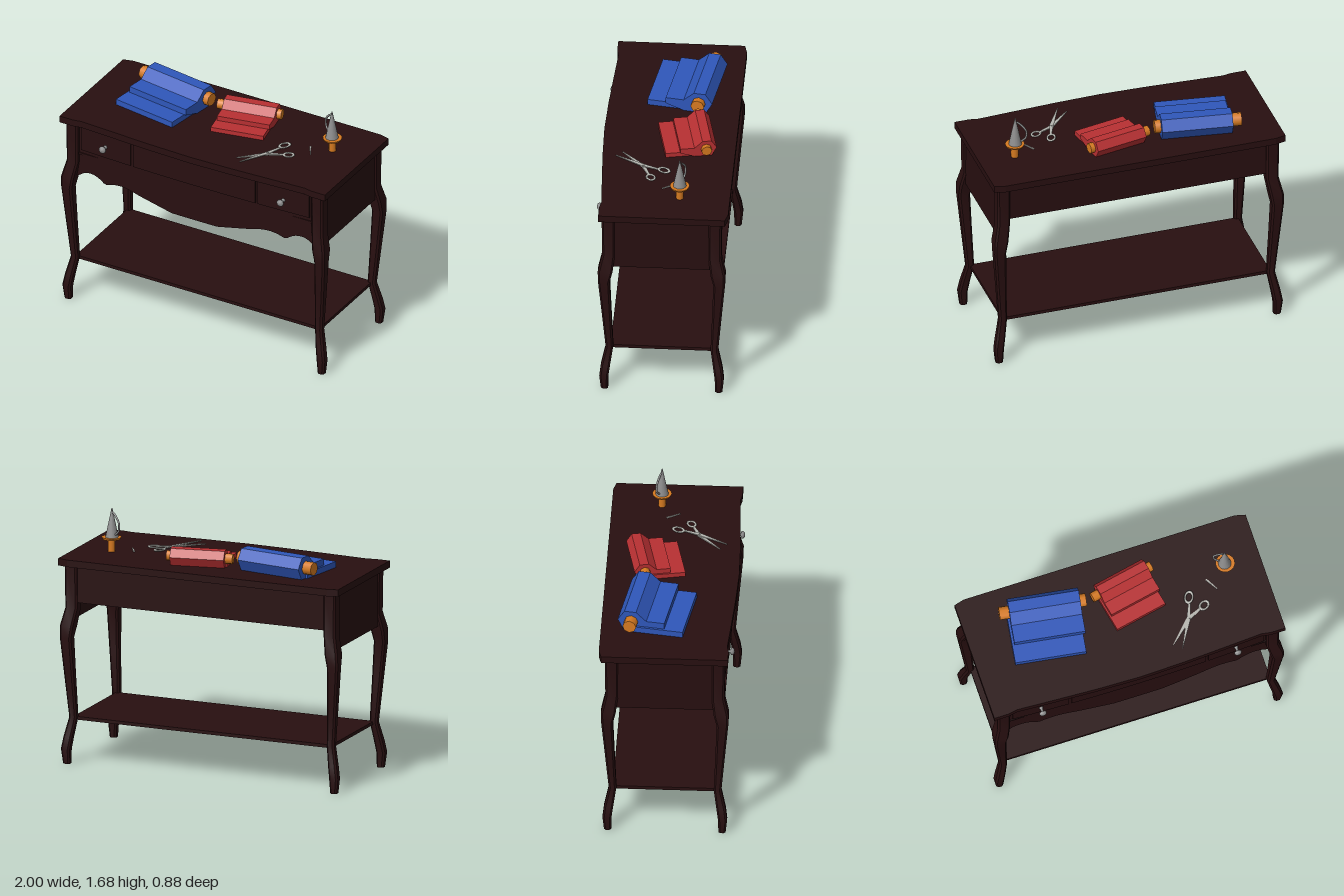
import * as THREE from 'three';
import { toCreasedNormals } from 'three/addons/utils/BufferGeometryUtils.js';

const mat = (name, color) => {
  const m = new THREE.MeshStandardMaterial({ color });
  m.name = name;
  return m;
};

export function createModel() {
  const wood = mat('dark wood', 0x280f10);
  const blue = mat('blue cloth', 0x2f57ba);
  const red = mat('red cloth', 0xb83032);
  const orange = mat('orange wood', 0xd67a20);
  const grey = mat('grey metal', 0x8c8c8c);
  const steel = mat('pale steel', 0xb6b6b0);
  const TOP = 1.385;

  const model = new THREE.Group();
  model.name = 'sewingTable';
  const add = (name, geo, material, x = 0, y = 0, z = 0, parent = model) => {
    const mesh = new THREE.Mesh(geo, material);
    mesh.name = name;
    mesh.position.set(x, y, z);
    parent.add(mesh);
    return mesh;
  };
  const box = (name, w, h, d, x, y, z) => add(name, new THREE.BoxGeometry(w, h, d), wood, x, y, z);

  // Horizontal plate from [x, z] outline points, rising from y = 0
  const plate = (points, thickness) => {
    const shape = new THREE.Shape(points.map(([x, z]) => new THREE.Vector2(x, -z)));
    return new THREE.ExtrudeGeometry(shape, { depth: thickness, bevelEnabled: false }).rotateX(-Math.PI / 2);
  };

  // Table top: bowed front, clipped back corners
  const half = [[0, 0.433], [0.3, 0.425], [0.6, 0.41], [0.84, 0.397], [0.9, 0.408], [1, 0.408], [1, -0.42], [0.93, -0.438]];
  const outline = [...half, ...half.slice(1).reverse().map(([x, z]) => [-x, z])];
  add('tableTop', plate(outline, 0.047), wood, 0, TOP - 0.047, 0);

  // Front apron and drawers follow one gentle bow
  const bow = (x) => 0.388 - 0.03 * x * x;
  const edge = [[0, 0.88], [0.17, 0.88], [0.42, 0.935], [0.5, 0.957], [0.56, 0.963], [0.62, 0.955], [0.68, 0.935],
    [0.72, 0.965], [0.76, 0.982], [0.8, 0.985], [0.84, 0.975], [0.89, 0.94], [1, 0.93]];
  const scallop = (x) => {
    const i = Math.max(1, edge.findIndex(([ex]) => ex >= Math.abs(x)));
    const [[x0, y0], [x1, y1]] = [edge[i - 1], edge[i]];
    return y0 + (y1 - y0) * (Math.abs(x) - x0) / (x1 - x0);
  };
  const bowedPanel = (name, x0, x1, y1, bottom, offset, thick) => {
    const geo = new THREE.BoxGeometry(x1 - x0, 1, thick, Math.ceil((x1 - x0) * 50), 1, 1);
    const p = geo.attributes.position;
    for (let i = 0; i < p.count; i++) {
      const x = p.getX(i) + (x0 + x1) / 2;
      p.setXYZ(i, x, p.getY(i) > 0 ? y1 : bottom(x), p.getZ(i) - thick / 2 + bow(x) + offset);
    }
    geo.computeVertexNormals();
    return add(name, geo, wood);
  };
  bowedPanel('frontApron', -0.91, 0.91, 1.34, scallop, -0.008, 0.025);
  for (const [name, x0, x1] of [['rightDrawer', -0.86, -0.48], ['centreDrawer', -0.46, 0.46], ['leftDrawer', 0.48, 0.86]]) {
    bowedPanel(name, x0, x1, 1.32, () => 1.15, 0.004, 0.02);
  }

  // Drawer knobs
  const knobProfile = [[0.014, 0], [0.009, 0.012], [0.009, 0.03], [0.024, 0.036], [0.025, 0.046], [0.016, 0.056], [0, 0.059]]
    .map(([r, y]) => new THREE.Vector2(r, y));
  for (const s of [-1, 1]) {
    add(s < 0 ? 'rightKnob' : 'leftKnob', new THREE.LatheGeometry(knobProfile, 12).rotateX(Math.PI / 2), grey, s * 0.67, 1.232, 0.378);
  }

  // Side aprons, back apron, drawer floor and lower shelf
  for (const s of [-1, 1]) box('sideApron', 0.025, 0.38, 0.7, s * 0.945, 1.15, 0);
  box('backApron', 1.8, 0.25, 0.025, 0, 1.215, -0.37);
  box('drawerFloor', 1.87, 0.015, 0.74, 0, 1.115, -0.005);
  box('lowerShelf', 1.84, 0.022, 0.68, 0, 0.302, -0.008);

  // Curved legs: [y, outer x, inner x, outer z, inner z] per section
  const sections = [
    [0, 0.978, 0.93, 0.392, 0.345], [0.1, 0.989, 0.927, 0.402, 0.343], [0.18, 0.975, 0.915, 0.392, 0.332],
    [0.31, 0.947, 0.893, 0.363, 0.313], [0.6, 0.972, 0.905, 0.388, 0.325], [0.85, 0.993, 0.914, 0.41, 0.334],
    [0.93, 0.992, 0.9, 0.412, 0.315], [1.05, 0.965, 0.88, 0.384, 0.3], [1.34, 0.968, 0.88, 0.388, 0.3],
  ];
  const legGeometry = (sx, sz, shift) => {
    const pos = [], index = [], n = 8;
    for (const [y, xo, xi, zo, zi] of sections) {
      const c = 0.012;
      const ring = [[xo, zi + c], [xo, zo - c], [xo - c, zo], [xi + c, zo], [xi, zo - c], [xi, zi + c], [xi + c, zi], [xo - c, zi]];
      if (sx * sz < 0) ring.reverse();
      for (const [x, z] of ring) pos.push(x * sx, y, z * sz + shift);
    }
    for (let r = 0; r < sections.length - 1; r++) {
      for (let k = 0; k < n; k++) {
        const a = r * n + k, b = r * n + (k + 1) % n;
        index.push(a, a + n, b + n, a, b + n, b);
      }
    }
    for (let k = 1; k < n - 1; k++) index.push(0, k, k + 1);
    const geo = new THREE.BufferGeometry();
    geo.setAttribute('position', new THREE.Float32BufferAttribute(pos, 3));
    geo.setIndex(index);
    return toCreasedNormals(geo, 0.6);
  };
  for (const sx of [-1, 1]) {
    add('frontLeg', legGeometry(sx, 1, 0), wood);
    add('backLeg', legGeometry(sx, -1, -0.01), wood);
  }

  // Cloth bolts: wound roll with a loose flap, a bottom layer and a core
  const bolt = (name, cloth, x, z, turn, scale) => {
    const g = new THREE.Group();
    g.name = name;
    g.position.set(x, TOP, z);
    g.rotation.y = turn;
    g.scale.setScalar(scale);
    const len = 0.47;
    const profile = [[-0.05, 0.002], [-0.09, 0.078], [-0.045, 0.147], [0.032, 0.147], [0.1, 0.085], [0.22, 0.085], [0.22, 0.042], [0.1, 0.002]];
    const shape = new THREE.Shape(profile.map(([v, y]) => new THREE.Vector2(-v, y)));
    const roll = new THREE.ExtrudeGeometry(shape, { depth: len, bevelEnabled: false })
      .translate(0, 0, -len / 2).rotateY(Math.PI / 2);
    add('clothRoll', roll, cloth, 0.01, 0, 0, g);
    add('clothUnderLayer', new THREE.BoxGeometry(len, 0.04, 0.345), cloth, -0.005, 0.022, 0.172, g);
    add('boltCore', new THREE.CylinderGeometry(0.045, 0.045, 0.575, 8).rotateZ(Math.PI / 2), orange, -0.002, 0.073, 0, g);
    model.add(g);
  };
  bolt('blueBolt', blue, -0.465, -0.205, -0.15, 1);
  bolt('redBolt', red, 0.08, -0.213, 0.2, 0.77);

  // Spool stand with a metal cone and side handle
  const stand = new THREE.Group();
  stand.name = 'coneStand';
  stand.position.set(0.757, TOP, -0.11);
  model.add(stand);
  add('standStem', new THREE.CylinderGeometry(0.024, 0.024, 0.09, 12), orange, 0, 0.045, 0, stand);
  add('standTray', new THREE.CylinderGeometry(0.064, 0.058, 0.014, 16), orange, 0, 0.09, 0, stand);
  add('metalCone', new THREE.CylinderGeometry(0.003, 0.043, 0.195, 16), grey, -0.003, 0.194, 0, stand);
  const handlePath = new THREE.CatmullRomCurve3([[-0.012, 0.265], [-0.035, 0.25], [-0.075, 0.2], [-0.072, 0.15], [-0.04, 0.118]]
    .map(([x, y]) => new THREE.Vector3(x, y, 0)));
  add('coneHandle', new THREE.TubeGeometry(handlePath, 16, 0.007, 6), grey, 0, 0, 0, stand).rotation.y = -0.45;

  // Scissors: two crossing blades with finger loops
  const bar = (name, [x0, z0], [x1, z1], w0, w1, y, material) => {
    const d = new THREE.Vector2(x1 - x0, z1 - z0).normalize();
    const side = (x, z, w) => [x - d.y * w, z + d.x * w];
    const pts = [side(x0, z0, w0), side(x1, z1, w1), side(x1, z1, -w1), side(x0, z0, -w0)];
    return add(name, plate(pts, 0.006), material, 0, y, 0);
  };
  const pivot = [0.42, 0.15];
  const blades = [
    { tip: [0.267, 0.294], neck: [0.515, 0.108], ring: [0.545, 0.094] },
    { tip: [0.316, 0.337], neck: [0.458, 0.05], ring: [0.467, 0.012] },
  ];
  blades.forEach(({ tip, neck, ring }, i) => {
    const y = TOP + 0.003 + i * 0.006;
    bar('scissorBlade', tip, pivot, 0.002, 0.014, y, steel);
    bar('scissorShank', pivot, neck, 0.013, 0.007, y, steel);
    const loop = add('fingerLoop', new THREE.TorusGeometry(0.025, 0.007, 6, 16).rotateX(Math.PI / 2), steel, ring[0], y + 0.004, ring[1]);
    loop.scale.set(i ? 1.5 : 1.3, 0.8, 1);
    loop.rotation.y = i ? 1.1 : 0.5;
  });
  add('scissorPivot', new THREE.CylinderGeometry(0.007, 0.007, 0.016, 8), steel, pivot[0], TOP + 0.011, pivot[1]);

  // Loose needle
  bar('needle', [0.613, -0.072], [0.662, 0.012], 0.006, 0.003, TOP + 0.001, steel);

  return model;
}
